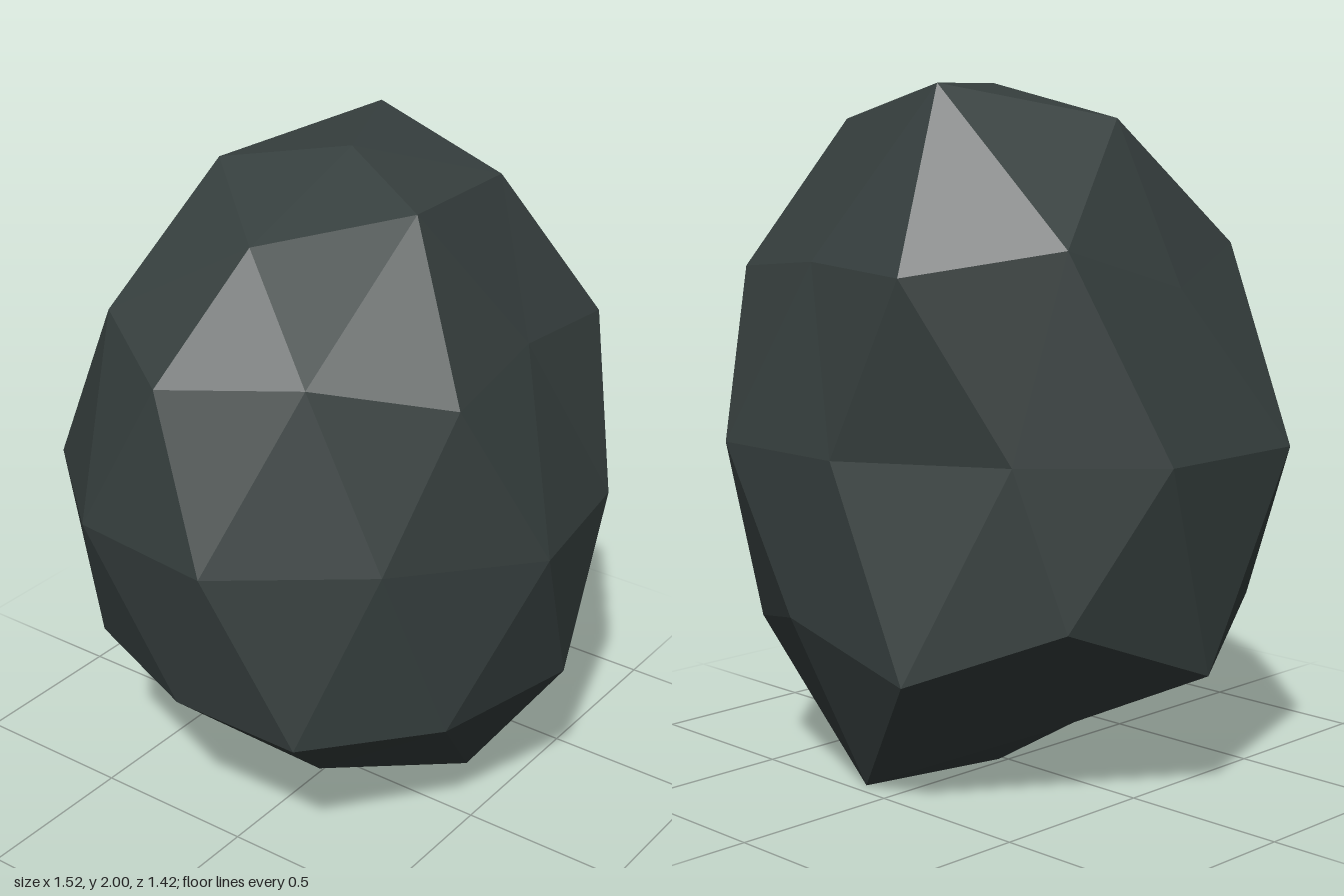
import * as THREE from 'three';

// Faceted boulder: rings of a once-subdivided icosahedron, pushed out of round.
// Each ring runs counter-clockwise seen from above.
const TOP = [0.02, 2, -0.04];
const BOTTOM = [0.01, 0.005, -0.03];
const crown = [[0.36, 1.93, 0.14], [0.32, 1.9, -0.33], [-0.15, 2, -0.42], [-0.39, 1.905, 0.03], [-0.07, 1.79, 0.3]];
const shoulder = [[0.58, 1.47, 0.25], [0.54, 1.48, -0.53], [-0.25, 1.5, -0.66], [-0.6, 1.45, 0.06], [-0.15, 1.47, 0.62]];
const shoulderMid = [[0.55, 1.52, -0.13], [0.13, 1.52, -0.63], [-0.555, 1.57, -0.34], [-0.48, 1.55, 0.42], [0.22, 1.5, 0.44]];
const waist = [[0.45, 0.41], [0.76, 0.06], [0.69, -0.38], [0.42, -0.71], [-0.03, -0.71],
  [-0.46, -0.45], [-0.76, -0.15], [-0.76, 0.35], [-0.4, 0.66], [0.06, 0.71]].map(([x, z]) => [x, 1, z]);
const hip = [[0.7, 0.51, -0.16], [0.17, 0.53, -0.69], [-0.57, 0.55, -0.35], [-0.52, 0.52, 0.47], [0.29, 0.48, 0.6]];
const hipMid = [[0.55, 0.45, 0.23], [0.53, 0.44, -0.5], [-0.24, 0.4, -0.65], [-0.7, 0.38, 0.08], [-0.12, 0.49, 0.61]];
const base = [[0.41, 0.09, -0.11], [0.12, 0, -0.46], [-0.27, 0.17, -0.14], [-0.25, 0.19, 0.22], [0.14, 0.18, 0.28]];

function boulderGeometry() {
  const positions = [];
  const tri = (...corners) => corners.forEach((p) => positions.push(...p));

  for (let i = 0; i < 5; i++) {
    const next = (i + 1) % 5;
    const prev = (i + 4) % 5;
    const w0 = waist[2 * i];
    const w1 = waist[2 * i + 1];
    const w2 = waist[2 * next];

    // Cap
    tri(TOP, crown[i], crown[next]);
    tri(crown[i], shoulder[i], shoulderMid[i]);
    tri(crown[i], shoulderMid[i], crown[next]);
    tri(crown[next], shoulderMid[i], shoulder[next]);

    // Side facets pointing down
    tri(shoulder[i], w1, shoulderMid[i]);
    tri(shoulderMid[i], w1, w2);
    tri(shoulderMid[i], w2, shoulder[next]);
    tri(w1, hip[i], w2);

    // Side facets pointing up
    tri(shoulder[i], w0, w1);
    tri(w0, hip[prev], hipMid[i]);
    tri(w0, hipMid[i], w1);
    tri(w1, hipMid[i], hip[i]);

    // Underside
    tri(hip[prev], base[prev], hipMid[i]);
    tri(hipMid[i], base[prev], base[i]);
    tri(hipMid[i], base[i], hip[i]);
    tri(base[prev], BOTTOM, base[i]);
  }

  const geometry = new THREE.BufferGeometry();
  geometry.setAttribute('position', new THREE.Float32BufferAttribute(positions, 3));
  geometry.computeVertexNormals();
  return geometry;
}

export function createModel() {
  const stone = new THREE.MeshStandardMaterial({ color: 0x363f3e });
  stone.name = 'darkStone';
  stone.flatShading = true;

  const boulder = new THREE.Mesh(boulderGeometry(), stone);
  boulder.name = 'boulder';

  const model = new THREE.Group();
  model.name = 'rock';
  model.add(boulder);
  return model;
}
